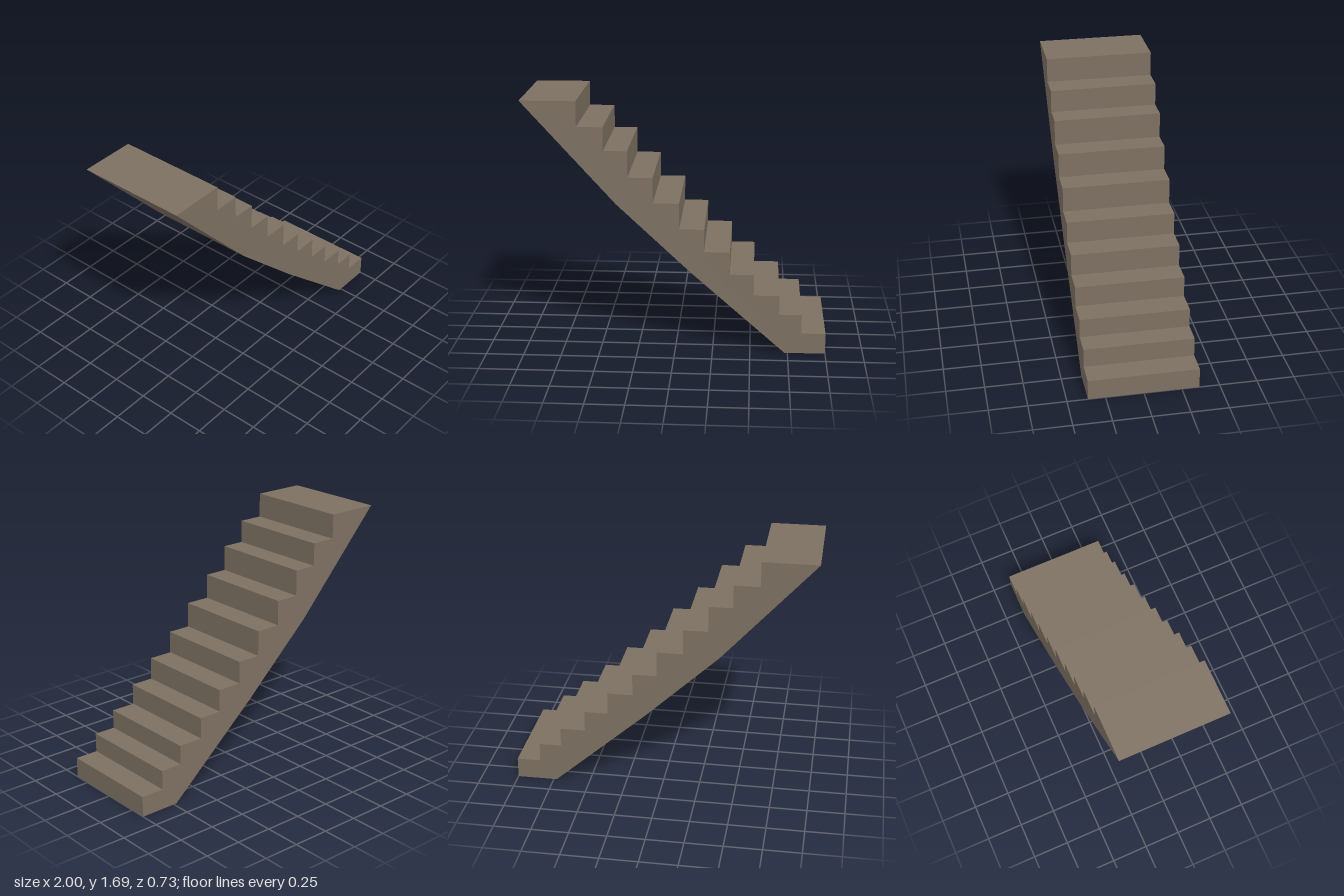
import * as THREE from 'three';

export function createModel() {
  const group = new THREE.Group();
  group.name = 'staircase';
  const stone = new THREE.MeshStandardMaterial({ color: 0x7d7061 });
  stone.name = 'brownStone';

  // Step profile: nosing position and tread height, bottom to top
  const steps = [
    [1, 0.14], [0.84, 0.27], [0.69, 0.4], [0.52, 0.543], [0.36, 0.695], [0.19, 0.847],
    [0.027, 1.02], [-0.145, 1.19], [-0.308, 1.365], [-0.465, 1.52], [-0.635, 1.687],
  ];
  const width = 0.73;

  const profile = new THREE.Shape();
  profile.moveTo(0.73, 0);
  let floor = 0;
  for (const [x, tread] of steps) {
    profile.lineTo(x, floor); // back of the tread below
    profile.lineTo(x, tread); // riser
    floor = tread;
  }

  // Landing and gently bowed underside
  profile.lineTo(-1, floor);
  profile.lineTo(-0.385, 1.01);
  profile.lineTo(0.105, 0.55);
  profile.closePath();

  const geometry = new THREE.ExtrudeGeometry(profile, { depth: width, bevelEnabled: false });
  geometry.translate(0, 0, -width / 2);
  const stairs = new THREE.Mesh(geometry, stone);
  stairs.name = 'stairFlight';
  group.add(stairs);
  return group;
}
